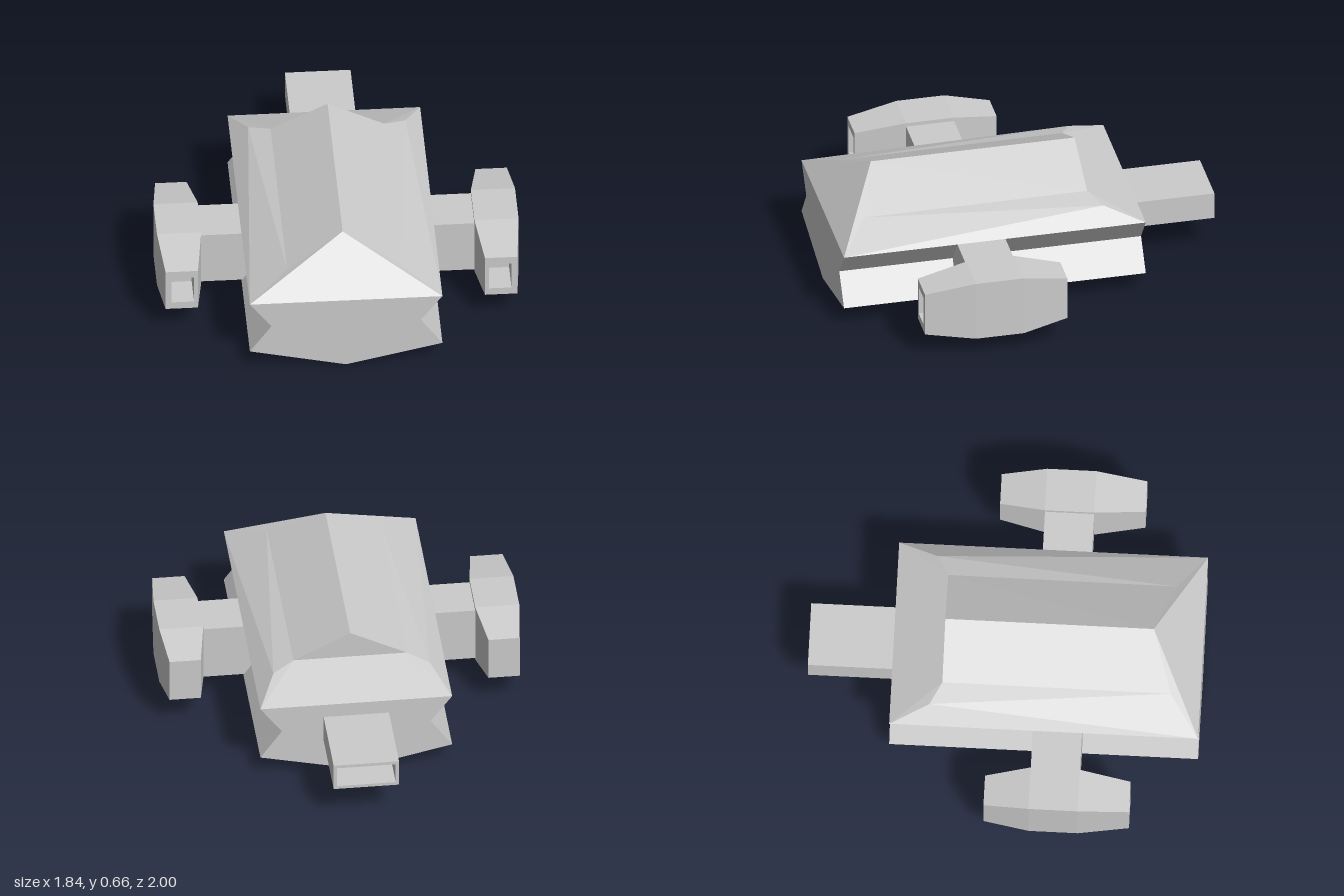
import * as THREE from 'three';

const material = new THREE.MeshStandardMaterial({ color: 0xcccccc, flatShading: true });

function mesh(name, geometry) {
  const m = new THREE.Mesh(geometry, material);
  m.name = name;
  return m;
}

// Geometry from a list of triangles, each three [x, y, z] corners
function fromTriangles(tris) {
  const g = new THREE.BufferGeometry();
  g.setAttribute('position', new THREE.Float32BufferAttribute(tris.flat(2), 3));
  g.computeVertexNormals();
  return g;
}

// Joins rectangular sections [z, x0, x1, y0, y1] in order and caps both ends;
// sections that turn back in z form a hollow
function loftRects(sections) {
  const rings = sections.map(([z, x0, x1, y0, y1]) =>
    [[x0, y0, z], [x1, y0, z], [x1, y1, z], [x0, y1, z]]);
  const tris = [];
  const quad = (a, b, c, d) => tris.push([a, b, c], [a, c, d]);
  for (let i = 0; i < rings.length - 1; i++) {
    for (let j = 0; j < 4; j++) {
      const k = (j + 1) % 4;
      quad(rings[i][j], rings[i][k], rings[i + 1][k], rings[i + 1][j]);
    }
  }
  quad(...[...rings[0]].reverse());
  quad(...rings[rings.length - 1]);
  return fromTriangles(tris);
}

// Faceted roof: a gable with bevelled shoulders, one half mirrored to the other
function roofGeometry() {
  const flip = ([x, y, z]) => [-x, y, z];
  const frontCorner = [0.49, 0.41, 1], rearCorner = [0.49, 0.41, -0.57];
  const frontPeak = [0, 0.66, 0.75], rearPeak = [0, 0.66, -0.31];
  const frontKnee = [0.29, 0.51, 0.85], rearKnee = [0.29, 0.515, -0.31];
  const shoulder = [0.4, 0.485, -0.37];
  const half = [
    [frontPeak, frontCorner, frontKnee],
    [frontPeak, frontKnee, rearKnee],
    [frontPeak, rearKnee, rearPeak],
    [frontKnee, frontCorner, shoulder],
    [frontCorner, rearCorner, shoulder],
    [frontKnee, shoulder, rearKnee],
    [rearKnee, shoulder, rearCorner],
  ];
  const mirrored = half.map(([a, b, c]) => [flip(a), flip(c), flip(b)]);
  const middle = [
    [flip(frontCorner), frontCorner, frontPeak],
    [rearKnee, rearCorner, flip(rearCorner)],
    [rearKnee, flip(rearCorner), flip(rearKnee)],
    [rearPeak, rearKnee, flip(rearKnee)],
  ];
  return fromTriangles([...half, ...mirrored, ...middle]);
}

export function createModel() {
  const model = new THREE.Group();
  model.name = 'craft';

  // Hull: keeled section with a notch along each side
  const section = new THREE.Shape([
    [0, 0], [0.49, 0.11], [0.38, 0.265], [0.49, 0.41],
    [-0.49, 0.41], [-0.38, 0.265], [-0.49, 0.11],
  ].map(([x, y]) => new THREE.Vector2(x, y)));
  const hull = new THREE.ExtrudeGeometry(section, { depth: 1.57, bevelEnabled: false });
  hull.translate(0, 0, -0.57);
  model.add(mesh('hull', hull), mesh('roof', roofGeometry()));

  // Side pods with a hollow front, each on a stub wing
  const pod = [
    [-0.07, 0.735, 0.895, 0.15, 0.385],
    [0.16, 0.695, 0.92, 0.105, 0.43],
    [0.41, 0.695, 0.92, 0.105, 0.43],
    [0.67, 0.73, 0.895, 0.15, 0.385],
    [0.67, 0.75, 0.865, 0.19, 0.345],
    [0.5, 0.75, 0.865, 0.19, 0.345],
  ];
  for (const side of [1, -1]) {
    const sections = side > 0 ? pod : pod.map(([z, x0, x1, y0, y1]) => [z, -x1, -x0, y0, y1]);
    const name = side > 0 ? 'left' : 'right';
    const wing = mesh(name + 'Wing', new THREE.BoxGeometry(0.36, 0.295, 0.25));
    wing.position.set(side * 0.53, 0.2625, 0.285);
    model.add(wing, mesh(name + 'Pod', loftRects(sections)));
  }

  // Tail nozzle, hollow at the rear end
  const tail = mesh('tailNozzle', loftRects([
    [0.5, -0.167, 0.167, 0.19, 0.335],
    [1, -0.167, 0.167, 0.19, 0.335],
    [1, -0.15, 0.15, 0.207, 0.318],
    [0.75, -0.15, 0.15, 0.207, 0.318],
  ]));
  tail.rotation.y = Math.PI;
  model.add(tail);

  return model;
}
